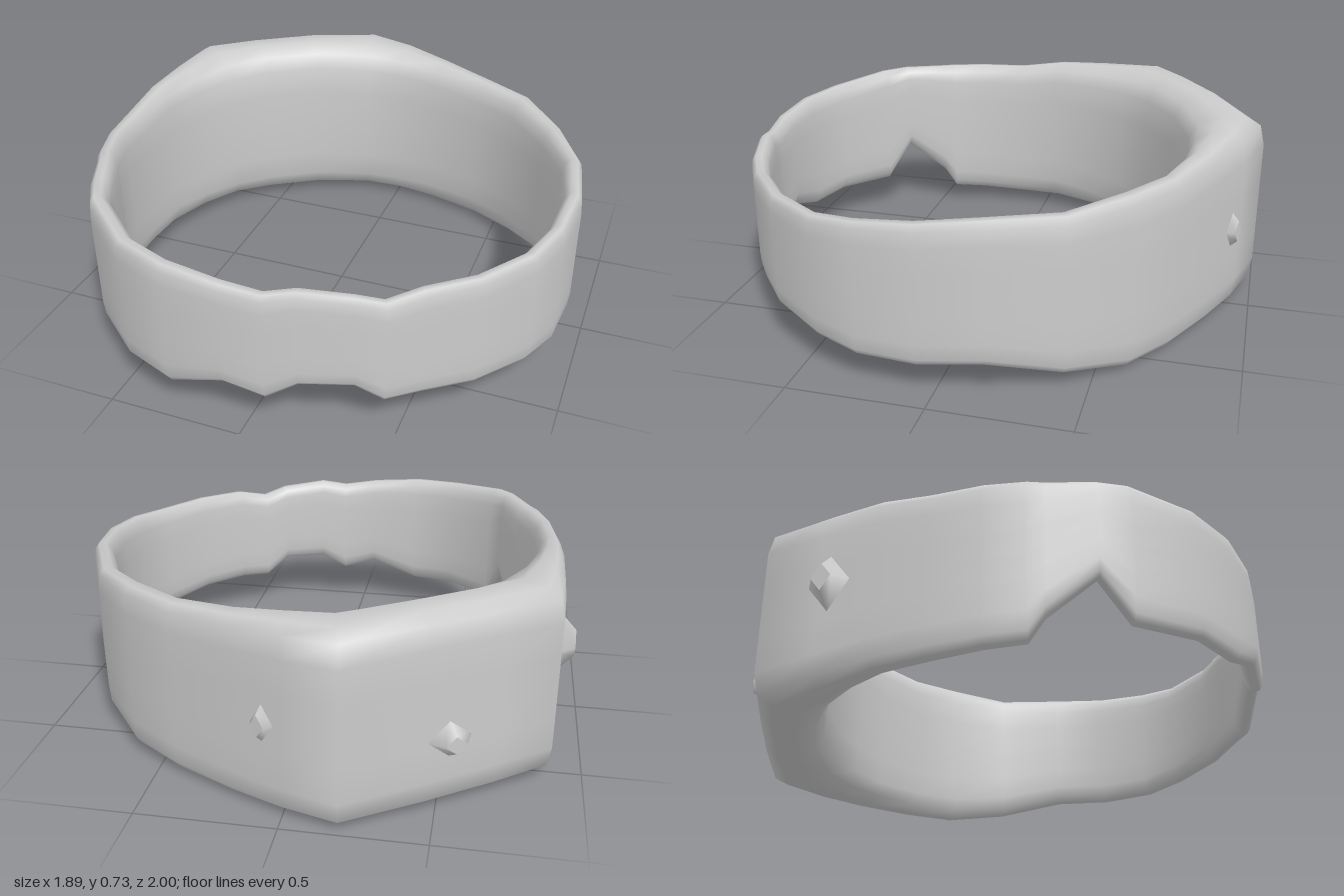
import * as THREE from 'three';

const material = new THREE.MeshStandardMaterial({ color: 0xcccccc, side: THREE.DoubleSide });

// Stations around the band: outer x, outer z, lower edge, upper edge
const STATIONS = [
  [0.945, 0.05, 0.12, 0.63], [0.925, 0.27, 0.12, 0.61], [0.865, 0.44, 0.14, 0.59],
  [0.73, 0.64, 0.16, 0.59], [0.58, 0.765, 0.17, 0.59], [0.47, 0.84, 0.16, 0.56],
  [0.38, 0.89, 0.235, 0.59], [0.2, 0.95, 0.235, 0.61], [0.09, 0.98, 0.17, 0.59],
  [-0.06, 1.0, 0.21, 0.61], [-0.27, 0.985, 0.14, 0.63], [-0.46, 0.92, 0.15, 0.64],
  [-0.66, 0.755, 0.15, 0.67], [-0.715, 0.66, 0.31, 0.68], [-0.79, 0.5, 0.17, 0.68],
  [-0.82, 0.45, 0.08, 0.68], [-0.865, 0.31, 0.07, 0.68], [-0.895, 0.12, 0.06, 0.68],
  [-0.9, -0.08, 0.06, 0.71], [-0.9, -0.3, 0.04, 0.72], [-0.885, -0.555, 0.025, 0.73],
  [-0.7, -0.68, 0.015, 0.735], [-0.46, -0.84, 0.01, 0.735], [-0.2, -1.0, 0.005, 0.72],
  [0.0, -0.94, 0.005, 0.71], [0.2, -0.855, 0.01, 0.69], [0.43, -0.745, 0.02, 0.67],
  [0.62, -0.625, 0.03, 0.67], [0.79, -0.43, 0.07, 0.645], [0.905, -0.18, 0.13, 0.65],
];

// Upper half of the rounded wall section: across (0 inner, 1 outer), up (0 to 1)
const HALF = [[0, 0.5], [0, 0.72], [0.04, 0.87], [0.15, 0.95], [0.42, 1], [0.75, 0.995], [0.94, 0.95], [1, 0.84], [1, 0.66], [1, 0.5]];
const SECTION = [...HALF, ...HALF.slice(1, -1).reverse().map(([u, v]) => [u, 1 - v])];

// Round finger hole inside the uneven outline; the front half of the wall stays thin
const HOLE = { x: 0.035, z: 0.1, rx: 0.835, rz: 0.82, minWall: 0.07, maxFrontWall: 0.08 };

function bandGeometry() {
  const positions = [], index = [];
  const n = STATIONS.length, m = SECTION.length;
  STATIONS.forEach(([x, z, low, high], i) => {
    const dx = x - HOLE.x, dz = z - HOLE.z, d = Math.hypot(dx, dz);
    const holeRadius = d / Math.hypot(dx / HOLE.rx, dz / HOLE.rz);
    const maxWall = z > 0.2 ? HOLE.maxFrontWall : 1;
    const inner = d - THREE.MathUtils.clamp(d - holeRadius, HOLE.minWall, maxWall);
    SECTION.forEach(([u, v], j) => {
      const r = (inner + (d - inner) * u) / d;
      positions.push(HOLE.x + dx * r, low + (high - low) * v, HOLE.z + dz * r);
      const i2 = (i + 1) % n, j2 = (j + 1) % m;
      const a = i * m + j, b = i2 * m + j, c = i2 * m + j2, e = i * m + j2;
      index.push(a, b, c, a, c, e);
    });
  });
  const geometry = new THREE.BufferGeometry();
  geometry.setAttribute('position', new THREE.Float32BufferAttribute(positions, 3));
  geometry.setIndex(index);
  geometry.computeVertexNormals();
  return geometry;
}

// Low blunt chip standing out of the wall
function chip(name, x, y, z, dirX, dirZ, width, tall, depth) {
  const geometry = new THREE.CylinderGeometry(0.4, 1, 1, 4).rotateX(Math.PI / 2);
  geometry.scale(width / 2, tall / 2, depth);
  const mesh = new THREE.Mesh(geometry, material);
  mesh.name = name;
  mesh.position.set(x, y, z);
  mesh.rotation.y = Math.atan2(dirX, dirZ);
  return mesh;
}

export function createModel() {
  const ring = new THREE.Group();
  ring.name = 'signetRing';

  const band = new THREE.Mesh(bandGeometry(), material);
  band.name = 'band';
  ring.add(band);

  // Worn chips on and beside the flat face
  ring.add(
    chip('sideChip', -0.915, 0.41, -0.26, -1, 0, 0.2, 0.26, 0.07),
    chip('faceChip', -0.545, 0.28, -0.8, -0.54, -0.84, 0.2, 0.16, 0.07),
    chip('backChip', 0.065, 0.35, -0.91, 0.42, -0.9, 0.13, 0.2, 0.06),
  );
  return ring;
}
